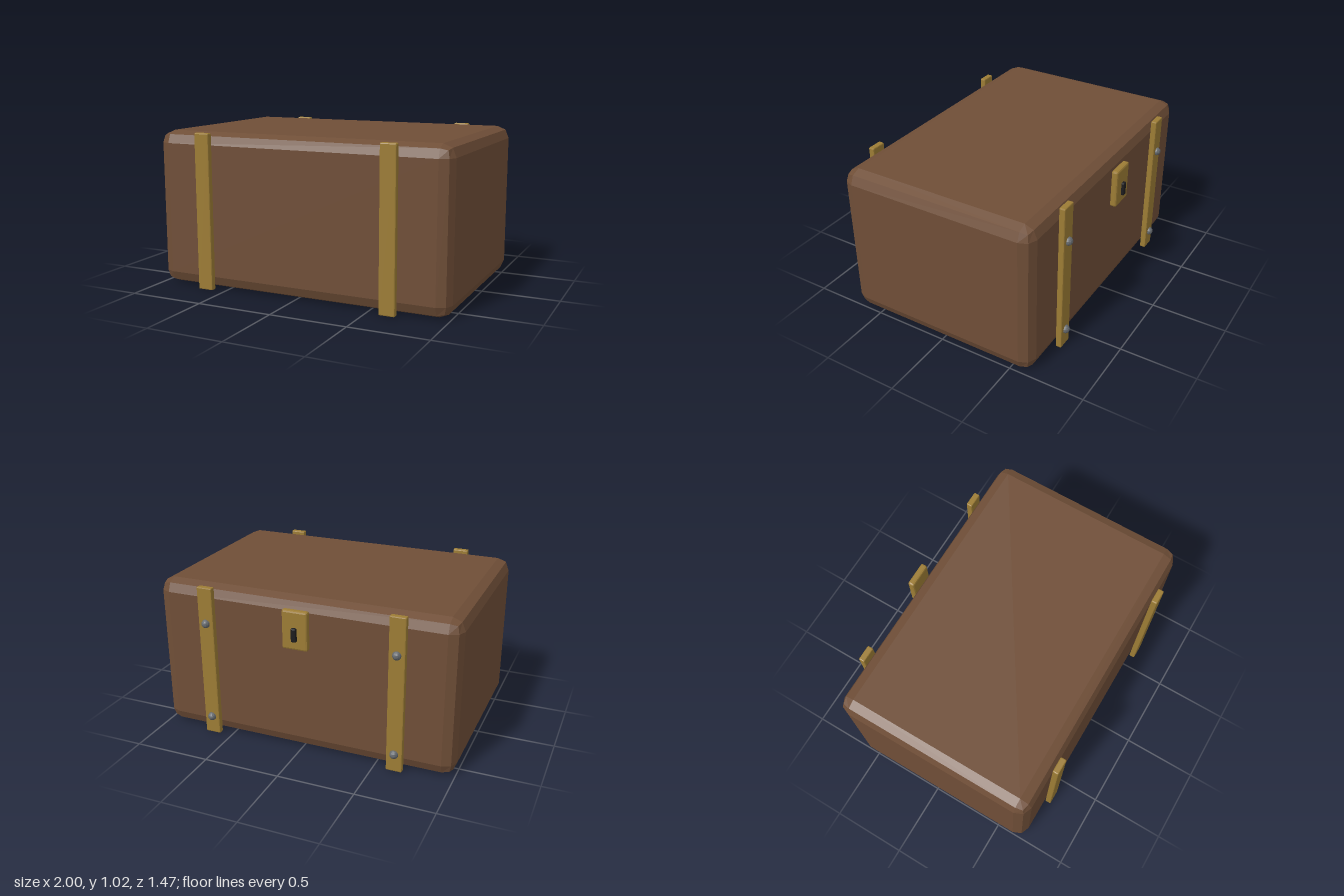
import * as THREE from 'three';
import { RoundedBoxGeometry } from 'three/addons/geometries/RoundedBoxGeometry.js';

const material = (color) => new THREE.MeshStandardMaterial({ color, flatShading: true });

export function createModel() {
  const group = new THREE.Group();
  const leather = material(0x6f4e37);
  const brass = material(0x9c7c35);
  const steel = material(0x666a6e);
  const black = material(0x1c1c1e);

  const add = (name, geometry, mat, x, y, z) => {
    const mesh = new THREE.Mesh(geometry, mat);
    mesh.name = name;
    mesh.position.set(x, y, z);
    group.add(mesh);
    return mesh;
  };

  // Bevelled box: one segment gives two facets along every edge
  const bevelBox = (w, h, d, r) => new RoundedBoxGeometry(w, h, d, 1, r);

  // Trunk body
  add('body', bevelBox(2, 1.02, 1.335, 0.08), leather, 0, 0.51, 0.0285);

  // Straps on the front and back, with rivets on the back pair
  const strap = bevelBox(0.104, 1.02, 0.04, 0.007);
  const rivet = new THREE.SphereGeometry(0.028, 12, 8);
  for (const [side, x] of [['left', 0.634], ['right', -0.634]]) {
    add(side + 'FrontStrap', strap, brass, x, 0.51, 0.718);
    add(side + 'BackStrap', strap, brass, x, 0.51, -0.66);
    add(side + 'UpperRivet', rivet, steel, x, 0.78, -0.68);
    add(side + 'LowerRivet', rivet, steel, x, 0.12, -0.68);
  }

  // Lock plate standing off the back, with its keyhole
  add('lockPlate', bevelBox(0.168, 0.252, 0.044, 0.012), brass, 0, 0.846, -0.696);
  add('keyhole', bevelBox(0.034, 0.088, 0.034, 0.007), black, 0, 0.822, -0.72);

  return group;
}
